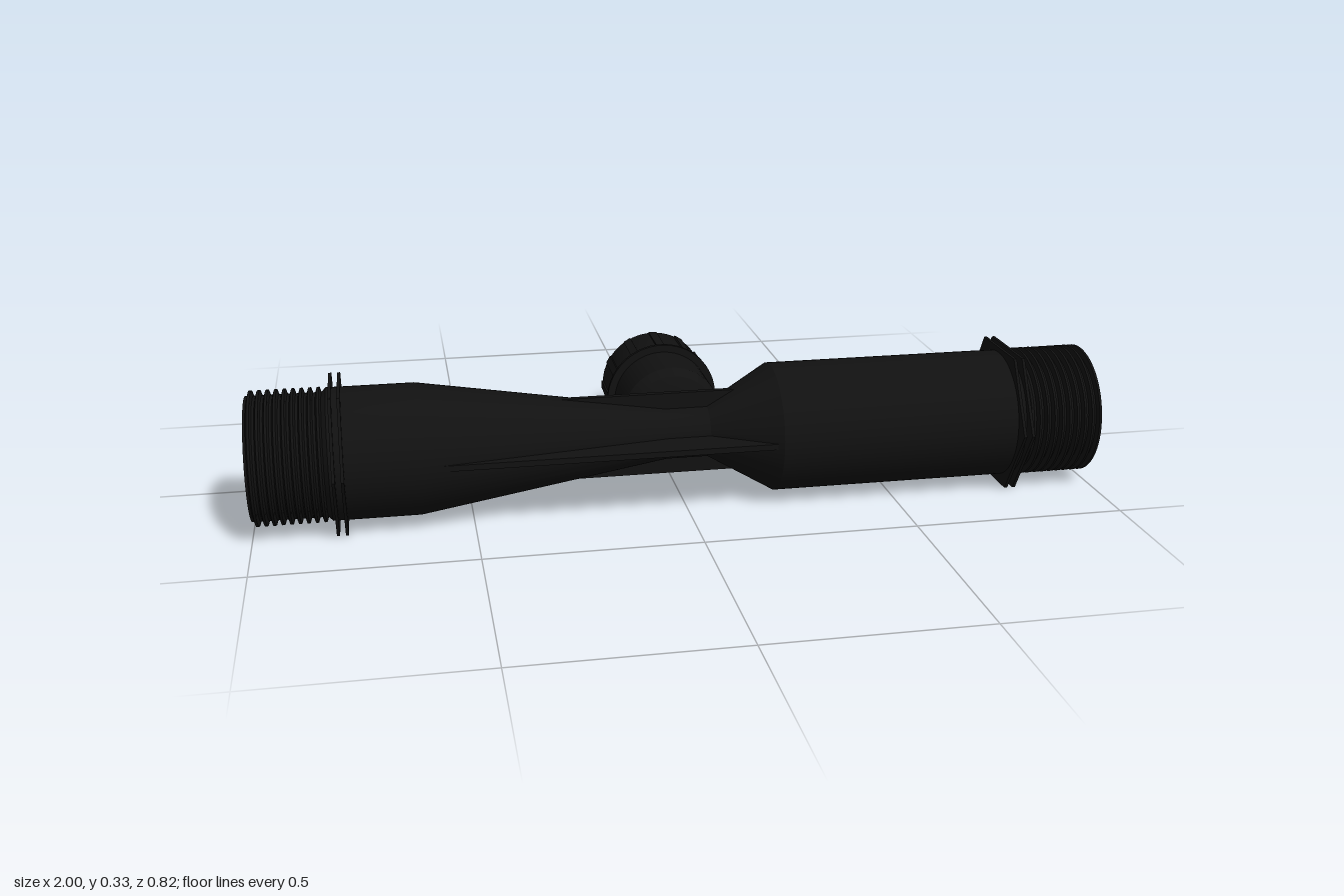
import * as THREE from 'three';
import { toCreasedNormals } from 'three/addons/utils/BufferGeometryUtils.js';

const material = new THREE.MeshStandardMaterial({ color: 0x111111 });

function addMesh(parent, name, geometry) {
  const mesh = new THREE.Mesh(geometry, material);
  mesh.name = name;
  parent.add(mesh);
  return mesh;
}

// Turned part from [radius, height] pairs
function turned(points, segments = 64) {
  const profile = points.map(([r, h]) => new THREE.Vector2(r, h));
  return toCreasedNormals(new THREE.LatheGeometry(profile, segments), 0.5);
}

// Saw-tooth profile of a screw thread between two heights
function thread(from, to, turns, root, crest) {
  const points = [];
  const pitch = (to - from) / turns;
  for (let i = 0; i < turns; i++) {
    const h = from + i * pitch;
    points.push([root, h], [root, h + pitch * 0.3], [crest, h + pitch * 0.5], [crest, h + pitch * 0.8]);
  }
  points.push([root, to]);
  return points;
}

// Thin stiffening plate, drawn as (x, distance from pipe axis), turned about the pipe
function addRib(parent, name, points, angle, thickness = 0.014) {
  const shape = new THREE.Shape(points.map(([x, r]) => new THREE.Vector2(x, r)));
  const geometry = new THREE.ExtrudeGeometry(shape, { depth: thickness, bevelEnabled: false });
  geometry.translate(0, 0, -thickness / 2);
  addMesh(parent, name, geometry).rotation.x = angle;
}

export function createModel() {
  const model = new THREE.Group();
  model.name = 'venturiInjector';

  const pipe = new THREE.Group();
  pipe.name = 'pipe';
  pipe.position.set(0, 0.165, 0.22);
  model.add(pipe);

  // Hollow main pipe: threaded ends, long and short cones meeting in a narrow throat
  const body = addMesh(pipe, 'pipeBody', turned([
    [0.13, -1],
    ...thread(-1, -0.83, 9, 0.143, 0.155),
    [0.153, -0.82], [0.153, -0.62], [0.062, -0.04], [0.062, 0.06], [0.153, 0.215], [0.153, 0.82],
    ...thread(0.83, 1, 9, 0.143, 0.155),
    [0.13, 1], [0.13, 0.25], [0.04, 0.05], [0.04, -0.05], [0.13, -0.62], [0.13, -1],
  ]));
  body.rotation.z = -Math.PI / 2;

  // Pairs of thin hexagonal wrench plates
  const hex = new THREE.Shape();
  for (let i = 0; i < 6; i++) {
    const a = i * Math.PI / 3;
    const x = 0.19 * Math.cos(a), y = 0.19 * Math.sin(a);
    if (i) hex.lineTo(x, y); else hex.moveTo(x, y);
  }
  hex.closePath();
  hex.holes.push(new THREE.Path().absarc(0, 0, 0.14, 0, Math.PI * 2, true));
  const plate = new THREE.ExtrudeGeometry(hex, { depth: 0.007, bevelEnabled: false, curveSegments: 32 });
  plate.translate(0, 0, -0.0035);
  for (const x of [-0.81, -0.79, 0.79, 0.81]) {
    const mesh = addMesh(pipe, 'hexPlate', plate);
    mesh.rotation.y = Math.PI / 2;
    mesh.position.x = x;
  }

  // Ribs around the throat
  const inner = [[0.06, 0.051], [-0.04, 0.051]];
  const low = [[-0.29, 0.1], [0.127, 0.1], ...inner];
  addRib(pipe, 'topRib', low, 0);
  addRib(pipe, 'bottomRib', low, Math.PI);
  addRib(pipe, 'frontRib', [[-0.6, 0.145], [0.205, 0.145], [0.2, 0.133], ...inner], Math.PI / 2);
  addRib(pipe, 'backGusset',
    [[-0.37, 0.113], [-0.12, 0.22], [0.12, 0.22], [0.215, 0.153], [0.2, 0.133], ...inner], -Math.PI / 2);

  // Suction branch, its axis pointing backwards; height h lies at z = -h
  const branch = new THREE.Group();
  branch.name = 'suctionBranch';
  branch.position.y = 0.165;
  branch.rotation.x = -Math.PI / 2;
  model.add(branch);

  addMesh(branch, 'branchSocket', turned([
    [0, -0.14], [0.07, -0.135], [0.105, -0.118], [0.12, -0.095], [0.12, 0.036],
    [0.138, 0.036], [0.138, 0.046], [0.12, 0.046], [0.12, 0.06], [0, 0.06],
  ]));

  // Union nut with grip bars
  addMesh(branch, 'unionNut', turned([
    [0.11, 0.05], [0.13, 0.05], [0.13, 0.176], [0.127, 0.182], [0.121, 0.185], [0.05, 0.185],
  ]));
  const bars = 12;
  for (let i = 0; i < bars; i++) {
    const a = (i / bars) * Math.PI * 2;
    const bar = addMesh(branch, 'gripBar', new THREE.BoxGeometry(0.012, 0.115, 0.02));
    bar.position.set(0.128 * Math.cos(a), 0.112, 0.128 * Math.sin(a));
    bar.rotation.y = -a;
  }

  // Threaded nipple ending in a hollow hose barb
  addMesh(branch, 'hoseBarb', turned([
    [0.06, 0.18], [0.06, 0.19],
    ...thread(0.19, 0.285, 5, 0.058, 0.067),
    [0.06, 0.296], [0.035, 0.296], [0.035, 0.37], [0.042, 0.37], [0.042, 0.376], [0.035, 0.41],
    [0.022, 0.41], [0.022, 0.2], [0, 0.2],
  ], 48));

  return model;
}
